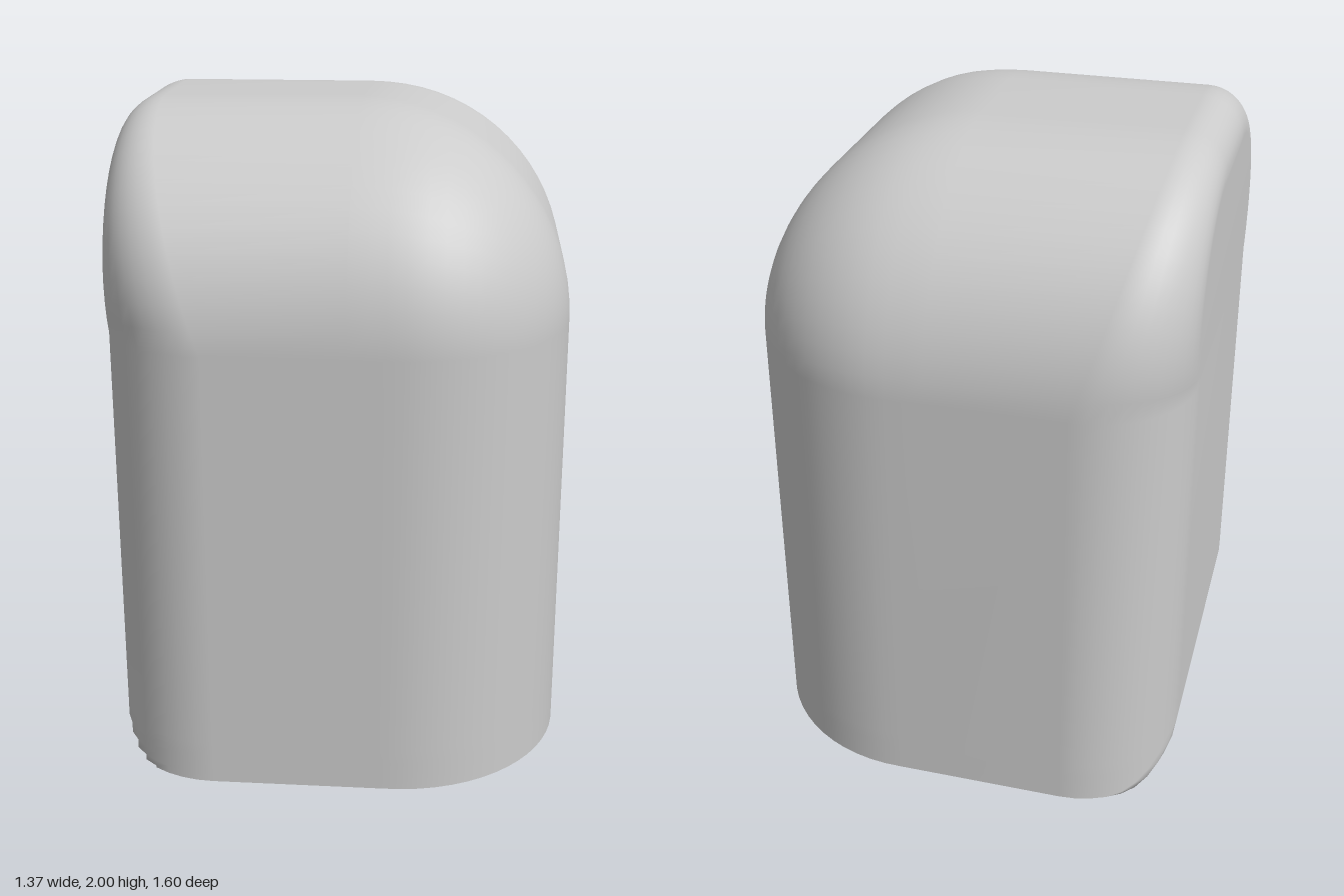
import * as THREE from 'three';

const X0 = -0.685, X1 = 0.685, W = 0.8, SPRING = 1.36, R = 0.64; // overall size, arch start and radius
const CURL = 0.13;                                               // small rounding of the flat side

// Half of the arched cross-section: wall rows, then the quarter arch (a = 0..1)
const rows = [];
for (let k = 0; k <= 5; k++) rows.push({ y: CURL * (1 - Math.cos(k * Math.PI / 10)), a: 0 });
for (let k = 0; k <= 14; k++) rows.push({ y: SPRING, a: k / 14 });

// Stations along x: the rounded flat side first, then the domed side
const stations = [];
for (let k = 0; k <= 10; k++) stations.push({ fillet: k / 10 * Math.PI / 2 });
for (let k = 0; k <= 18; k++) stations.push({ x: 0.045 + R * Math.sin(k / 18 * Math.PI / 2) });

// Point on the +z half of the shell
function shellPoint({ fillet, x }, { y, a }) {
  const t = a * Math.PI / 2;
  if (x === undefined) {
    // fillet that narrows from the upright corners to the crown
    const s = CURL + 0.19 * (1 - a) ** 2, inset = s * (1 - Math.sin(fillet));
    const r = R - inset;
    let px = X0 + s * (1 - Math.cos(fillet));
    if (y < CURL) px = Math.max(px, X0 + CURL - Math.sqrt(CURL ** 2 - (CURL - y) ** 2));
    return [px, y + r * Math.sin(t), W - R + r * Math.cos(t)];
  }
  // dome: height and width both shrink towards the end
  const r = R * Math.sqrt(Math.max(0, 1 - ((x - 0.045) / R) ** 2));
  const q = Math.min(1, Math.max(0, (x - (X1 - 0.51)) / 0.51));
  const w = W - 0.51 * (1 - Math.sqrt(1 - q * q));
  return [x, y + r * Math.sin(t), w - r * (1 - Math.cos(t))];
}

function shellGeometry() {
  const pos = [], index = [], n = rows.length * 2, last = stations.length - 1;
  for (const st of stations) {
    const half = rows.map((row) => shellPoint(st, row));
    const mirrored = half.map(([x, y, z]) => [x, y, -z]).reverse();
    for (const p of [...half, ...mirrored]) pos.push(...p);
  }
  const id = (i, j) => i * n + j;
  const quad = (a, b, c, d) => index.push(a, b, c, a, c, d);
  // outer skin
  for (let i = 0; i < last; i++)
    for (let j = 0; j < n - 1; j++) quad(id(i, j), id(i + 1, j), id(i + 1, j + 1), id(i, j + 1));
  // flat side and domed end, spanned between mirrored rows
  for (let j = 0; j < rows.length - 1; j++) {
    const k = n - 1 - j;
    quad(id(0, k), id(0, j), id(0, j + 1), id(0, k - 1));
    quad(id(last, j), id(last, k), id(last, k - 1), id(last, j + 1));
  }
  const g = new THREE.BufferGeometry();
  g.setAttribute('position', new THREE.Float32BufferAttribute(pos, 3));
  g.setIndex(index);
  g.computeVertexNormals();
  return g;
}

export function createModel() {
  const group = new THREE.Group();
  group.name = 'roundedCover';
  // thin shell, open underneath
  const shell = new THREE.Mesh(
    shellGeometry(),
    new THREE.MeshStandardMaterial({ color: 0xcccccc, side: THREE.DoubleSide })
  );
  shell.name = 'shell';
  group.add(shell);
  return group;
}
